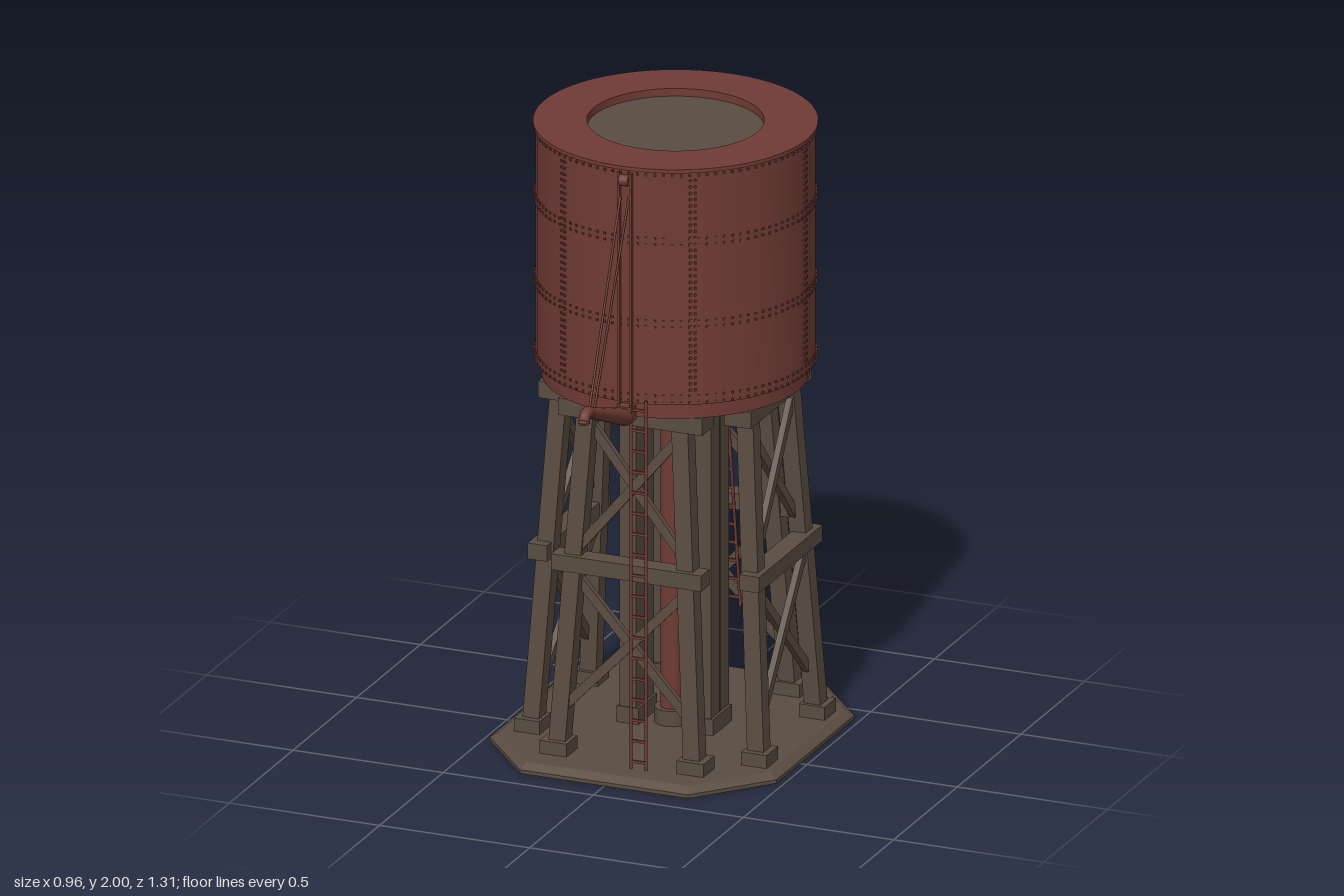
import * as THREE from 'three';
import { mergeGeometries, toCreasedNormals } from 'three/addons/utils/BufferGeometryUtils.js';
import { ConvexGeometry } from 'three/addons/geometries/ConvexGeometry.js';

const CX = 0.01, CZ = -0.118; // vertical axis of tower and tank
const V = (x, y, z) => new THREE.Vector3(x, y, z);

export function createModel() {
  const root = new THREE.Group();
  root.name = 'waterTower';
  const red = new THREE.MeshStandardMaterial({ color: 0x703b35 });
  red.name = 'rust red paint';
  const wood = new THREE.MeshStandardMaterial({ color: 0x5a4c41 });
  wood.name = 'weathered brown';

  const add = (parent, name, geo, mat, x = 0, y = 0, z = 0) => {
    const m = new THREE.Mesh(geo, mat);
    m.name = name;
    m.position.set(x, y, z);
    parent.add(m);
    return m;
  };
  const box = (parent, name, w, h, d, mat, x, y, z) =>
    add(parent, name, new THREE.BoxGeometry(w, h, d), mat, x, y, z);
  // Square timber from a to b, its w side staying in the plane of the frame
  const beam = (parent, name, a, b, w, d, mat) => {
    const dir = b.clone().sub(a), len = dir.length();
    const yAxis = dir.normalize();
    const zAxis = V(0, 0, 1).addScaledVector(yAxis, -yAxis.z).normalize();
    const xAxis = yAxis.clone().cross(zAxis);
    const m = add(parent, name, new THREE.BoxGeometry(w, len, d), mat);
    m.quaternion.setFromRotationMatrix(new THREE.Matrix4().makeBasis(xAxis, yAxis, zAxis));
    m.position.copy(a).add(b).multiplyScalar(0.5);
    return m;
  };
  // Round, optionally tapered rod from a to b
  const rod = (parent, name, a, b, r1, r2, mat, sides = 8) => {
    const dir = b.clone().sub(a);
    const m = add(parent, name, new THREE.CylinderGeometry(r2, r1, dir.length(), sides), mat);
    m.quaternion.setFromUnitVectors(V(0, 1, 0), dir.normalize());
    m.position.copy(a).add(b).multiplyScalar(0.5);
    return m;
  };

  // Eight-sided foundation slab with sloping top edge
  const slabPoints = [];
  for (const [y, inset] of [[0, 0], [0.012, 0], [0.03, 0.028]])
    for (const sx of [-1, 1])
      for (const sz of [-1, 1]) {
        const k = inset * 0.41;
        slabPoints.push(V(sx * (0.478 - inset), y, sz * (0.305 - k)), V(sx * (0.28 - k), y, sz * (0.533 - inset)));
      }
  add(root, 'foundation', new ConvexGeometry(slabPoints), wood, 0, 0, CZ);

  // Four trestle frames of two leaning legs each
  const out = y => 0.378 - 0.06 * y;
  const half = y => 0.228 - 0.062 * y;
  for (let k = 0; k < 4; k++) {
    const frame = new THREE.Group();
    frame.name = ['frontTrestle', 'leftTrestle', 'backTrestle', 'rightTrestle'][k];
    frame.position.set(CX, 0, CZ);
    frame.rotation.y = k * Math.PI / 2;
    root.add(frame);
    const midY = k % 2 ? 0.617 : 0.648;
    for (const s of [-1, 1]) {
      box(frame, 'foot', 0.09, 0.045, 0.085, wood, s * half(0), 0.05, out(0));
      beam(frame, 'leg', V(s * half(0.05), 0.05, out(0.05)), V(s * half(1.13), 1.13, out(1.13)), 0.055, 0.055, wood);
      // Crossed braces, one layer in front of the other
      for (const [y0, y1] of [[0.17, 0.6], [0.68, 1.1]]) {
        const dz = s * 0.011;
        beam(frame, 'crossBrace', V(-s * half(y0), y0, out(y0) + dz), V(s * half(y1), y1, out(y1) + dz), 0.03, 0.02, wood);
      }
    }
    box(frame, 'middleBeam', 0.5, 0.052, 0.065, wood, 0, midY, out(midY) + 0.012);
    box(frame, 'capBeam', 0.48, 0.055, 0.09, wood, 0, 1.148, out(1.148));
  }

  // Upright posts in the middle
  for (const x of [-0.127, 0.122])
    for (const z of [-0.037, 0.037]) {
      box(root, 'innerPost', 0.055, 1.15, 0.066, wood, CX + x, 0.6, CZ + z);
      box(root, 'innerPostFoot', 0.072, 0.055, 0.074, wood, CX + x, 0.055, CZ + z);
    }
  box(root, 'centrePost', 0.055, 1.15, 0.06, wood, 0.05, 0.6, CZ - 0.03);
  rod(root, 'supplyPipe', V(0, 0.03, CZ), V(0, 1.18, CZ), 0.036, 0.036, red, 16);
  add(root, 'pipeFoot', new THREE.CylinderGeometry(0.055, 0.055, 0.05, 12), wood, 0, 0.055, CZ);

  // Tank shell with lower ring, top rim and sunken lid
  const tank = new THREE.Group();
  tank.name = 'tank';
  tank.position.set(0.012, 0, CZ);
  root.add(tank);
  const profile = [[0, 1.175], [0.412, 1.175], [0.412, 1.235], [0.43, 1.235], [0.43, 1.985],
    [0.438, 1.988], [0.438, 2], [0.272, 2], [0.272, 1.97]].map(p => new THREE.Vector2(...p));
  add(tank, 'shell', toCreasedNormals(new THREE.LatheGeometry(profile, 56), 0.6), red);
  const lid = add(tank, 'lid', new THREE.CircleGeometry(0.274, 56), wood, 0, 1.975, 0);
  lid.rotation.x = -Math.PI / 2;

  // Plate seams: thin bands with rivets either side
  for (const y of [1.245, 1.49, 1.76])
    add(tank, 'seamBand', new THREE.CylinderGeometry(0.432, 0.432, 0.036, 56, 1, true), red, 0, y, 0);
  const rivets = [];
  const rivet = (angle, y) => {
    const g = new THREE.BoxGeometry(0.007, 0.007, 0.007);
    g.translate(0, y, 0.432);
    g.rotateY(angle);
    rivets.push(g);
  };
  for (const y of [1.234, 1.256, 1.48, 1.5, 1.75, 1.77, 1.978])
    for (let i = 0; i < 100; i++) rivet(i * Math.PI / 50, y);
  for (let s = 0; s < 6; s++)
    for (let i = 0; i < 34; i++)
      for (const d of [-0.018, 0.018]) rivet(Math.PI / 6 + s * Math.PI / 3 + d, 1.275 + i * 0.0208);
  add(tank, 'rivets', mergeGeometries(rivets), red);

  // Spout, its elbow, rails and suspension rods
  const sx = 0.028;
  const spout = new THREE.Group();
  spout.name = 'spout';
  root.add(spout);
  rod(spout, 'spoutPipe', V(sx, 1.18, 0.32), V(sx, 1.288, 0.59), 0.028, 0.018, red, 14);
  const elbow = new THREE.CatmullRomCurve3([V(sx, 1.284, 0.58), V(sx, 1.297, 0.61), V(sx, 1.293, 0.63), V(sx, 1.276, 0.638)]);
  add(spout, 'spoutElbow', new THREE.TubeGeometry(elbow, 10, 0.018, 12), red);
  const tip = add(spout, 'spoutMouth', new THREE.CylinderGeometry(0.018, 0.018, 0.008, 12), red, sx, 1.274, 0.637);
  tip.rotation.x = 0.3;
  box(spout, 'spoutBracket', 0.05, 0.05, 0.04, red, sx, 1.19, 0.305);
  for (const s of [-1, 1]) {
    box(spout, 'guideRail', 0.009, 0.76, 0.012, red, sx + s * 0.02, 1.6, 0.318);
    rod(spout, 'suspensionRod', V(sx + s * 0.014, 1.9, 0.32), V(sx + s * 0.008, 1.3, 0.575), 0.004, 0.004, red, 6);
  }
  const pulley = add(spout, 'pulley', new THREE.CylinderGeometry(0.018, 0.018, 0.03, 14), red, sx, 1.955, 0.32);
  pulley.rotation.z = Math.PI / 2;

  // Ladders: one upright at the front, one leaning inside the back
  const ladder = (name, foot, top, width, count) => {
    const g = new THREE.Group();
    g.name = name;
    root.add(g);
    const side = V(width / 2, 0, 0);
    for (const s of [-1, 1])
      rod(g, 'ladderRail', foot.clone().addScaledVector(side, s), top.clone().addScaledVector(side, s), 0.005, 0.005, red, 6);
    for (let i = 0; i < count; i++) {
      const p = foot.clone().lerp(top, (i + 0.5) / count);
      box(g, 'ladderRung', width, 0.008, 0.008, red, p.x, p.y, p.z);
    }
  };
  ladder('frontLadder', V(0.072, 0.02, 0.314), V(0.072, 1.24, 0.314), 0.05, 18);
  ladder('backLadder', V(0.06, 0.3, -0.455), V(0.06, 1.12, -0.335), 0.05, 13);

  return root;
}
